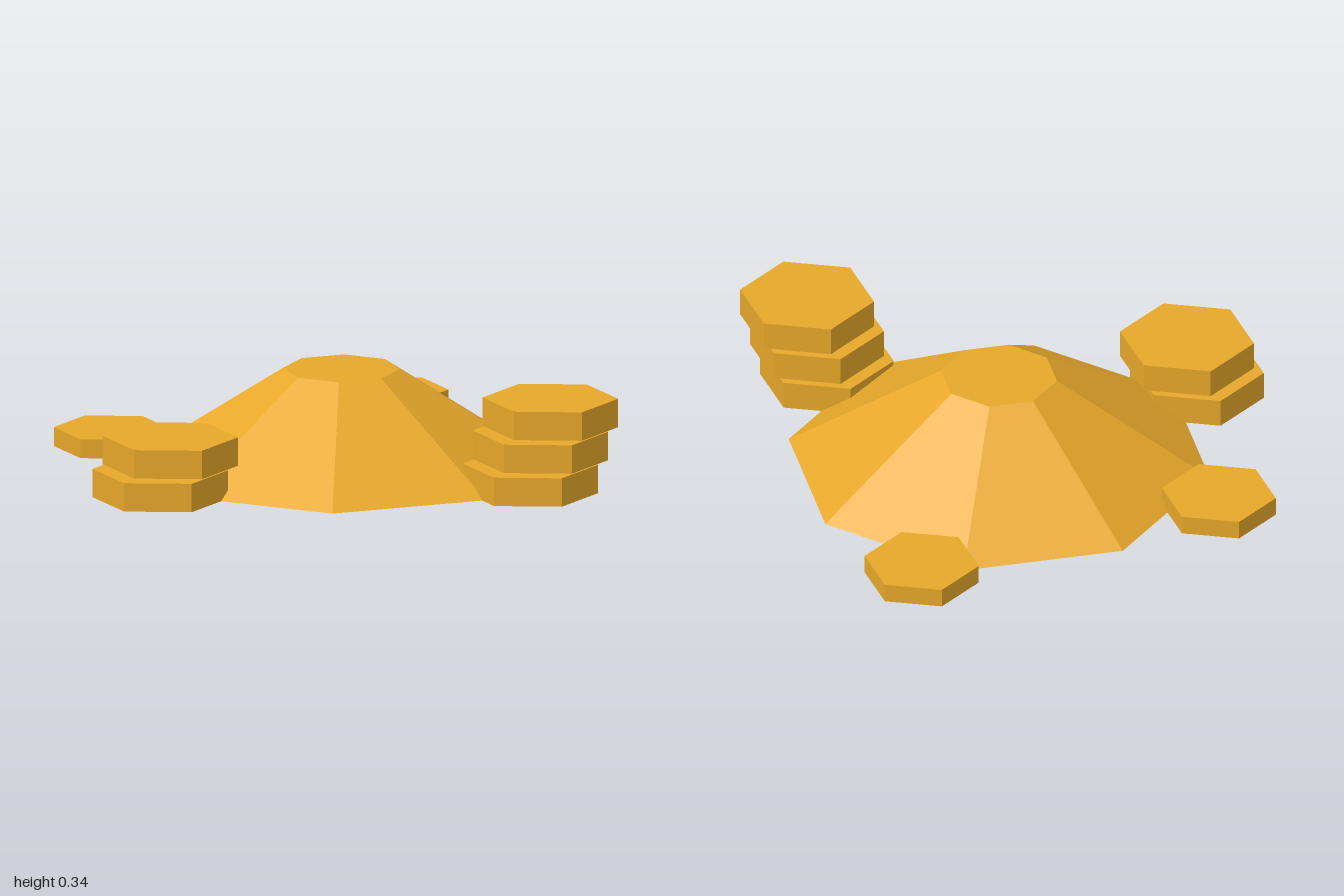
import * as THREE from 'three';

export function createModel() {
  const group = new THREE.Group();
  const gold = new THREE.MeshStandardMaterial({ color: 0xe8a82a, flatShading: true, side: THREE.DoubleSide });
  gold.name = 'gold';
  const darkGold = new THREE.MeshStandardMaterial({ color: 0x986a20, flatShading: true });
  darkGold.name = 'darkGold';

  // Eight-sided heap, hollow underneath
  const heap = new THREE.Group();
  heap.name = 'heap';
  heap.position.set(0.015, 0, 0.12);
  const slopes = new THREE.Mesh(new THREE.CylinderGeometry(0.205, 0.745, 0.34, 8, 1, true), gold);
  slopes.name = 'heapSlopes';
  slopes.position.y = 0.17;
  const top = new THREE.Mesh(new THREE.CircleGeometry(0.205, 8), gold);
  top.name = 'heapTop';
  top.rotation.x = -Math.PI / 2;
  top.position.y = 0.34;
  heap.add(slopes, top);
  group.add(heap);

  // Stacks of hexagonal coins with dark undersides, each coin shifted a little along x
  function addStack(name, count, x, z, radius, height) {
    const stack = new THREE.Group();
    stack.name = name;
    stack.position.set(x, 0, z);
    const geometry = new THREE.CylinderGeometry(radius, radius, height, 6, 1, false, Math.PI / 2);
    for (let i = 0; i < count; i++) {
      // Materials: rim, upper face, underside
      const coin = new THREE.Mesh(geometry, [gold, gold, darkGold]);
      coin.name = `${name}Coin${i + 1}`;
      coin.position.set(i * 0.035, height / 2 + i * 0.119, 0);
      stack.add(coin);
    }
    group.add(stack);
  }

  addStack('tallStack', 3, 0.693, 0.525, 0.237, 0.102);
  addStack('shortStack', 2, -0.595, 0.661, 0.237, 0.102);
  addStack('looseBackCoin', 1, 0.152, -0.695, 0.202, 0.068);
  addStack('looseSideCoin', 1, -0.798, -0.085, 0.202, 0.068);

  return group;
}
